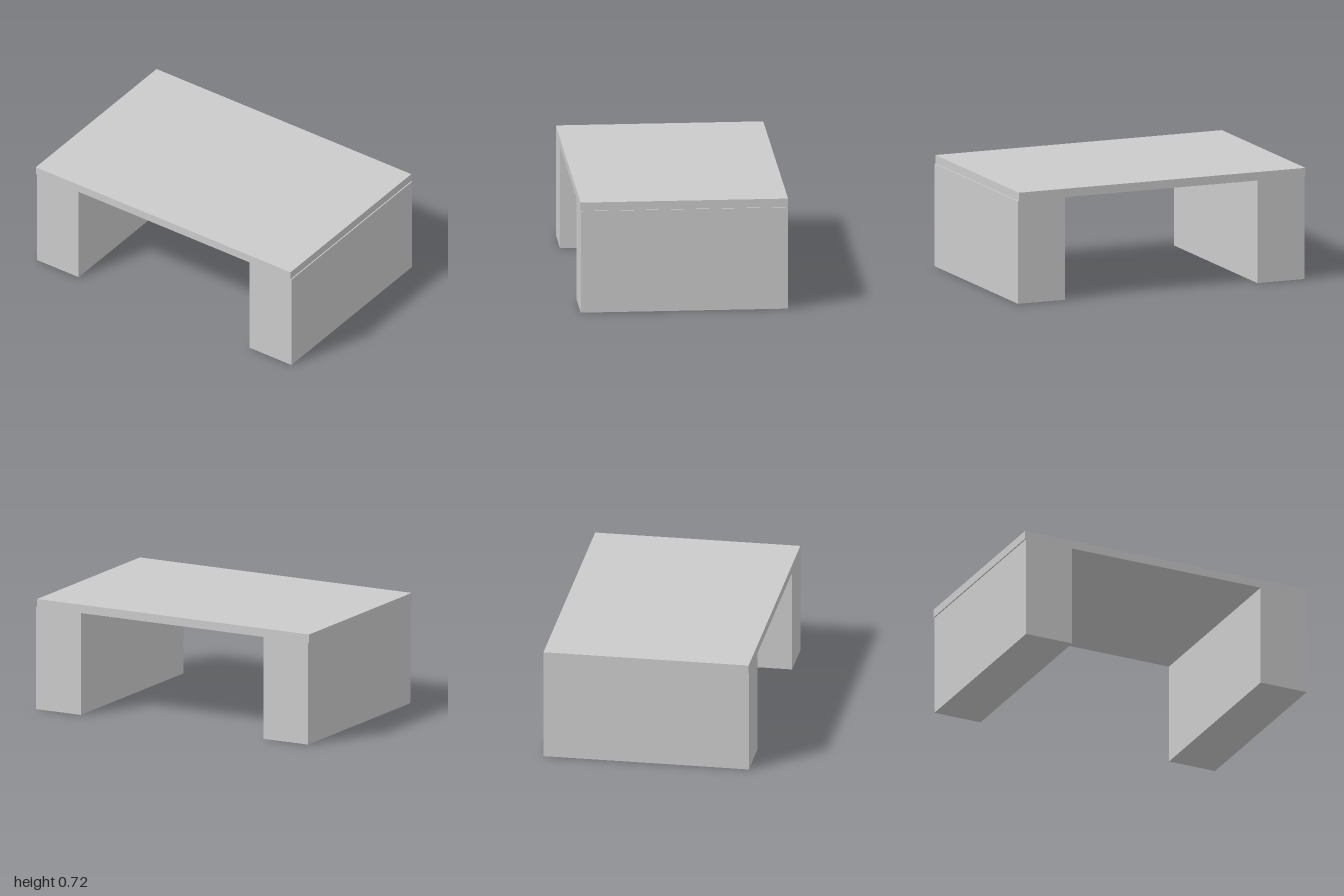
import * as THREE from 'three';

export function createModel() {
  const group = new THREE.Group();
  const material = new THREE.MeshStandardMaterial({ color: 0xcccccc, flatShading: true });
  const width = 1.326, legHeight = 0.667, topHeight = 0.722;

  // Box spanning the full width, given by its y and z limits
  function addBlock(name, y0, y1, z0, z1) {
    const mesh = new THREE.Mesh(new THREE.BoxGeometry(width, y1 - y0, z1 - z0), material);
    mesh.name = name;
    mesh.position.set(0, (y0 + y1) / 2, (z0 + z1) / 2);
    group.add(mesh);
  }

  // Table top, set very slightly back over the legs
  addBlock('tableTop', legHeight, topHeight, -1, 0.993);
  // Slab legs at both ends
  addBlock('frontLeg', 0, legHeight, 0.673, 1);
  addBlock('backLeg', 0, legHeight, -0.992, -0.665);

  return group;
}
